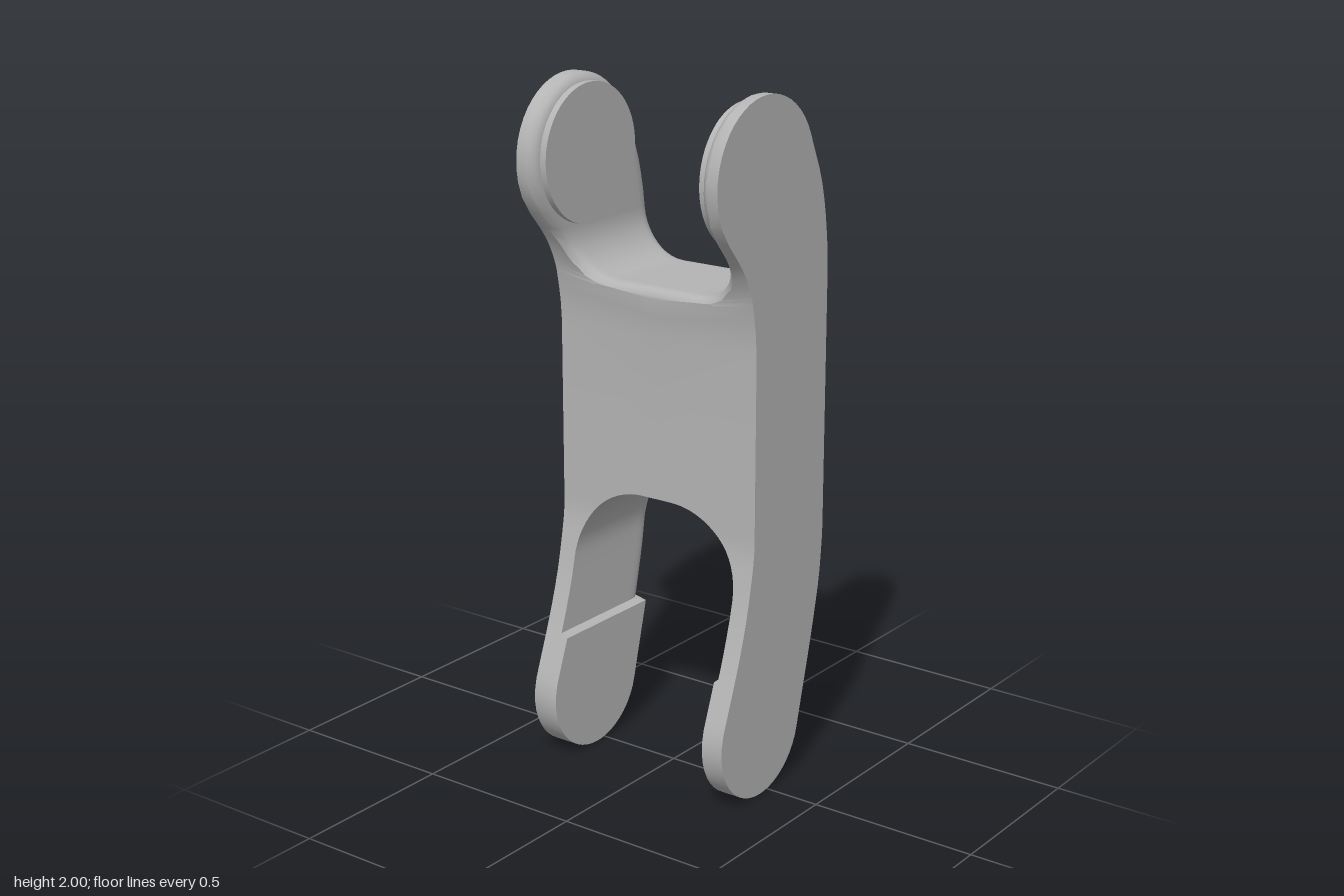
import * as THREE from 'three';
import { toCreasedNormals } from 'three/addons/utils/BufferGeometryUtils.js';

const HALF_DEPTH = 0.335;
const TOP = { x: -0.04, y: 1.775, r: 0.225 };
const FOOT = { x: -0.04, y: 0.19, r: 0.19 };

// Side edges between the two round ends, as [y, x]
const LEFT_EDGE = [[0.25, -0.22], [0.48, -0.137], [0.6, -0.105], [0.77, -0.08], [1.3, -0.08],
  [1.44, -0.098], [1.52, -0.128], [1.6, -0.185], [1.64, -0.22]];
const RIGHT_EDGE = [[0.14, 0.143], [0.5, 0.232], [0.6, 0.25], [0.74, 0.26], [1.48, 0.26],
  [1.6, 0.25], [1.72, 0.226], [1.86, 0.168]];

// Smooth monotone interpolation through the edge points
function curveAt(p, y) {
  let i = 0;
  while (i < p.length - 2 && y > p[i + 1][0]) i++;
  const secant = k => (p[k + 1][1] - p[k][1]) / (p[k + 1][0] - p[k][0]);
  const slope = k => {
    if (k === 0) return secant(0);
    if (k === p.length - 1) return secant(k - 1);
    const a = secant(k - 1), b = secant(k);
    return a * b <= 0 ? 0 : 2 * a * b / (a + b);
  };
  const h = p[i + 1][0] - p[i][0], t = (y - p[i][0]) / h, t2 = t * t, t3 = t2 * t;
  return (2 * t3 - 3 * t2 + 1) * p[i][1] + (t3 - 2 * t2 + t) * h * slope(i)
    + (3 * t2 - 2 * t3) * p[i + 1][1] + (t3 - t2) * h * slope(i + 1);
}

// x of the outline at height y; side is -1 or 1
function edgeX(y, side) {
  const table = side < 0 ? LEFT_EDGE : RIGHT_EDGE;
  const low = table[0][0], high = table[table.length - 1][0];
  if (y >= low && y <= high) return curveAt(table, y);
  const c = y < low ? FOOT : TOP;
  return c.x + side * Math.sqrt(Math.max(0, c.r * c.r - (y - c.y) ** 2));
}

// Upper outline, for measuring the distance to the rim
const rim = [];
for (let i = 0; i <= 200; i++) {
  const y = 2 - 0.7 * (i / 200) ** 2;
  rim.push([edgeX(y, -1), y], [edgeX(y, 1), y]);
}
const rimDistance = (x, y) => Math.min(...rim.map(q => Math.hypot(q[0] - x, q[1] - y)));

// Rows from top to bottom: y, z of the gap wall, ny/nz into the material, outer height
function makeRows(footPad) {
  const rows = [];
  const add = (y, z, ny, nz, kind, outerY = y) => rows.push({ y, z, ny, nz, kind, outerY });
  for (let i = 0; i <= 16; i++) add(2 - 0.42 * (i / 16) ** 2, 0.275, 0, 1, 'top');
  for (let i = 0; i <= 10; i++) {
    const a = i / 10 * Math.PI / 2;
    add(1.575 - 0.135 * Math.sin(a), 0.14 + 0.135 * Math.cos(a), -Math.sin(a), Math.cos(a), 'top');
  }
  add(1.44, 0, -1, 0, 'top', 1.4);
  for (const y of [1.36, 1.3, 1.0]) add(y, 0, 0, 0, 'web');
  add(0.83, 0, 1, 0, 'arch', 0.88);
  for (let i = 0; i <= 16; i++) {
    const a = i / 16 * Math.PI / 2;
    add(0.6 + 0.23 * Math.cos(a), 0.05 + 0.23 * Math.sin(a), Math.cos(a), Math.sin(a), 'arch');
  }
  for (const y of [0.55, 0.5, 0.45, 0.4, 0.385]) add(y, 0.28, 0, 1, 'arch');
  for (let i = 16; i >= 0; i--) add(0.375 * (i / 16) ** 2, footPad, 0, 1, 'foot');
  return rows;
}

const half = [0, 0.01, 0.03, 0.06, 0.1, 0.15, 0.22, 0.3, 0.4];
const across = [...half, 0.5, ...half.map(t => 1 - t).reverse()];

// Rounding depth at distance d from the edge
const fillet = (d, r) => d < r ? r - Math.sqrt(Math.max(0, r * r - (r - d) ** 2)) : 0;

// One half of the body, lofted from closed sections
function makeHalf(side, footPad) {
  const rows = makeRows(footPad);
  const rings = rows.map(row => {
    const l = edgeX(row.y, -1), r = edgeX(row.y, 1);
    const ring = across.map(t => {
      const x = l + (r - l) * t;
      let f = 0;
      if (row.kind === 'top') f = fillet(rimDistance(x, row.y), 0.035);
      if (row.kind === 'arch') f = fillet(r - x, 0.035 + 0.095 * row.ny ** 2);
      const y = row.y + row.ny * f;
      const l2 = edgeX(y, -1), r2 = edgeX(y, 1);
      return [l2 + (r2 - l2) * t, y, (row.z + row.nz * f) * side];
    });
    ring.push([edgeX(row.outerY, 1), row.outerY, HALF_DEPTH * side]);
    ring.push([edgeX(row.outerY, -1), row.outerY, HALF_DEPTH * side]);
    return ring;
  });
  const pos = [];
  const tri = (a, b, c) => pos.push(...a, ...(side > 0 ? b : c), ...(side > 0 ? c : b));
  for (let i = 0; i < rings.length - 1; i++) {
    const solid = rows[i].z === 0 && rows[i + 1].z === 0;
    const n = rings[i].length;
    for (let j = 0; j < n; j++) {
      if (solid && j < across.length - 1) continue;
      const k = (j + 1) % n, p = rings[i], q = rings[i + 1];
      tri(p[j], p[k], q[k]);
      tri(p[j], q[k], q[j]);
    }
  }
  const geo = new THREE.BufferGeometry();
  geo.setAttribute('position', new THREE.Float32BufferAttribute(pos, 3));
  return toCreasedNormals(geo, 0.6);
}

export function createModel() {
  const group = new THREE.Group();
  const grey = new THREE.MeshStandardMaterial({ color: 0xb4b4b4 });
  grey.name = 'plain grey';

  for (const [side, name, footPad] of [[1, 'front', 0.268], [-1, 'back', 0.256]]) {
    const body = new THREE.Mesh(makeHalf(side, footPad), grey);
    body.name = name + 'Half';
    group.add(body);

    // Raised round pad inside the upper arm
    const pad = new THREE.Mesh(new THREE.CylinderGeometry(0.198, 0.198, 0.035, 64), grey);
    pad.rotation.x = Math.PI / 2;
    pad.position.set(-0.037, 1.778, side * 0.2735);
    pad.name = name + 'UpperPad';
    group.add(pad);
  }
  return group;
}
